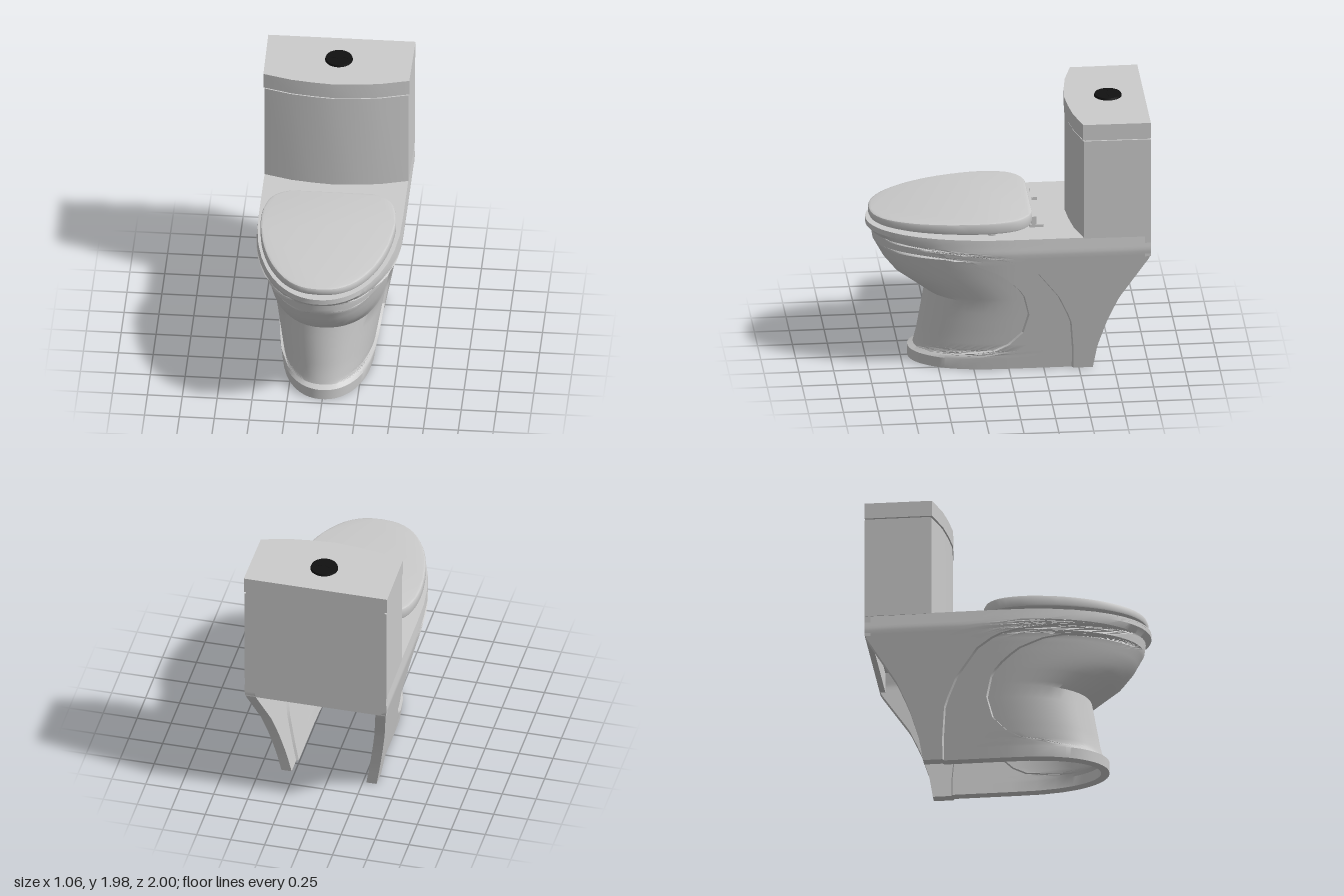
import * as THREE from 'three';
import { toCreasedNormals } from 'three/addons/utils/BufferGeometryUtils.js';

const grey = new THREE.MeshStandardMaterial({ color: 0xcccccc, side: THREE.DoubleSide });
const black = new THREE.MeshStandardMaterial({ color: 0x111111 });

// Piecewise linear lookup in a short [key, value] table
function at(table, k) {
  if (k <= table[0][0]) return table[0][1];
  for (let i = 1; i < table.length; i++) {
    const [k0, v0] = table[i - 1], [k1, v1] = table[i];
    if (k <= k1) return v0 + (v1 - v0) * (k - k0) / (k1 - k0);
  }
  return table[table.length - 1][1];
}

// Side profiles, all as [height, value]
const FRONT = [[0, .7], [.08, .7], [.1, .66], [.2, .635], [.54, .575], [.6, .66], [.7, .8], [.8, .88],
  [.93, .95], [1, .96], [1.04, 1], [1.08, 1]];
const BACK = [[0, -.6], [.18, -.63], [.4, -.7], [.58, -.78], [.92, -1]];
const WIDTH = [[0, .35], [.97, .525], [1.08, .515]];
const CENTRE = [[0, .08], [.2, .02], [.5, -.06], [.7, -.04], [1.08, 0]];
const PANEL_EDGE = [[0, -.46], [.15, -.46], [.4, -.44], [.6, -.35], [.8, -.2], [.88, -.08], [.92, .02],
  [.96, .35], [1, .85], [1.08, .9]];
const INSET_EDGE = [[0, .45], [.1, .45], [.15, .1], [.2, 0], [.3, -.1], [.45, -.14], [.62, -.1], [.72, -.01],
  [.8, .1], [.87, .27], [.91, .45], [.93, .8], [1, .91], [1.08, .96]];
const ROWS = [0, .08, .1, .125, .15, .2, .25, .3, .38, .45, .54, .57, .6, .65, .7, .75, .8, .84, .87, .9, .93,
  .96, .98, 1, 1.04, 1.08];

// Half of one horizontal section, from the back edge to the front centre
function halfSection(y) {
  const f = at(FRONT, y), w = at(WIDTH, y), c = at(CENTRE, y), b = at(BACK, y);
  const zp = at(PANEL_EDGE, y), zi = Math.max(zp + .03, at(INSET_EDGE, y));
  const dp = y < 1.01 ? .022 : 0, di = dp + (y > .1 && y < .93 ? .022 : 0);
  const pts = [];
  const run = (z0, z1, n, d) => {
    for (let i = 0; i <= n; i++) {
      const z = z0 + (z1 - z0) * Math.sin(i / n * Math.PI / 2);
      const u = Math.max(0, (z - c) / (f - c));
      pts.push([(w - d) * Math.pow(Math.max(0, 1 - Math.pow(u, 2.1)), 1 / 2.1), z]);
    }
  };
  run(b, zp, 12, 0);
  run(zp + .01, zi, 6, dp);
  run(zi + .01, f, 14, di);
  return pts;
}

const mirror = half => [...half, ...half.slice(0, -1).reverse().map(([x, z]) => [-x, z])];

// Hollow skirted body: closed U-shaped sections stacked in height
function bodyGeometry() {
  const pos = [], idx = [];
  let n = 0;
  for (const y of ROWS) {
    const outer = mirror(halfSection(y));
    const w = at(WIDTH, y), f = at(FRONT, y), b = at(BACK, y);
    const inner = outer.map(([x, z]) => [x * (1 - .075 / w), b + (z - b) * (f - .06 - b) / (f - b)]).reverse();
    n = outer.length;
    for (const [x, z] of [...outer, ...inner]) pos.push(x, y, z);
  }
  const m = 2 * n;
  for (let r = 0; r < ROWS.length - 1; r++) {
    for (let j = 0; j < m; j++) {
      const a = r * m + j, b = r * m + (j + 1) % m;
      idx.push(a, a + m, b, b, a + m, b + m);
    }
  }
  for (let j = 0; j < n - 1; j++) {
    const i = m - 1 - j;
    idx.push(j, j + 1, i, j + 1, i - 1, i);
  }
  const g = new THREE.BufferGeometry();
  g.setAttribute('position', new THREE.Float32BufferAttribute(pos, 3));
  g.setIndex(idx);
  return toCreasedNormals(g, .5);
}

// Plan outline of [x, z] points extruded from y0 to y1
function slab(points, y0, y1, bevel = 0) {
  const shape = new THREE.Shape(points.map(([x, z]) => new THREE.Vector2(x, -z)));
  const g = new THREE.ExtrudeGeometry(shape, {
    depth: y1 - y0 - 2 * bevel, bevelEnabled: bevel > 0, bevelSize: bevel, bevelThickness: bevel,
    bevelOffset: -bevel, bevelSegments: 2,
  });
  g.rotateX(-Math.PI / 2).translate(0, y0 + bevel, 0);
  return g;
}

export function createModel() {
  const model = new THREE.Group();
  const add = (name, geometry, material = grey) => {
    const mesh = new THREE.Mesh(geometry, material);
    mesh.name = name;
    model.add(mesh);
    return mesh;
  };
  const box = (name, w, h, d, x, y, z) => add(name, new THREE.BoxGeometry(w, h, d)).position.set(x, y, z);

  // Bowl, pedestal and side panels
  add('body', bodyGeometry());
  const rim = mirror(halfSection(1.08));
  add('deck', slab(rim, 1.07, 1.08));
  add('innerCeiling', slab(rim.map(([x, z]) => [x * .9, Math.max(-.61, z * .92)]), .97, 1.065));
  box('backWall', 1.04, .16, .04, 0, 1.0, -.98);

  // Tank and tank lid with a bowed front
  const tankPlan = (w, bow) => mirror([[w, -1], [w - .005, -.52 + bow], [.32, -.465 + bow], [.16, -.443 + bow], [0, -.43 + bow]]);
  add('tank', toCreasedNormals(slab(tankPlan(.522, 0), 1.075, 1.83), .5));
  add('tankGap', slab(tankPlan(.51, -.01), 1.83, 1.842));
  add('tankLid', toCreasedNormals(slab(tankPlan(.528, .005), 1.842, 1.96), .5));

  // Flush button with a wavy split
  add('flushButton', new THREE.CylinderGeometry(.095, .1, .016, 40), black).position.set(0, 1.967, -.74);
  const wave = new THREE.CatmullRomCurve3([[-.07, 0], [-.035, -.006], [0, .008], [.035, -.006], [.07, 0]]
    .map(([x, z]) => new THREE.Vector3(x, 1.975, z - .735)));
  add('buttonSplit', new THREE.TubeGeometry(wave, 16, .0015, 4), black);

  // Seat cover, sloping down toward the front
  const edge = new THREE.SplineCurve([[.29, -.17], [.38, -.13], [.45, -.04], [.482, .12], [.475, .3], [.44, .5],
    [.37, .7], [.26, .87], [.13, .96], [0, .98]].map(p => new THREE.Vector2(...p)));
  const cover = slab(mirror(edge.getPoints(27).map(p => [p.x, p.y])), 1.105, 1.205, .014);
  const p = cover.attributes.position;
  for (let i = 0; i < p.count; i++) {
    const t = (p.getZ(i) + .17) / 1.15, top = p.getY(i) > 1.15;
    p.setY(i, p.getY(i) + (top ? -.04 * t * t - .005 * t : .012 * (1 - t)));
  }
  add('seatCover', toCreasedNormals(cover, .6));

  // Bumpers and hinges
  for (const s of [-1, 1]) {
    for (const [x, z] of [[.28, .65], [.4, .13]]) box('bumper', .04, .035, .05, s * x, 1.097, z);
    box('hingeFoot', .1, .022, .1, s * .245, 1.09, -.2);
    box('hingeArm', .07, .07, .035, s * .255, 1.125, -.185);
  }
  box('hingeBar', .44, .04, .03, 0, 1.14, -.18);

  return model;
}
